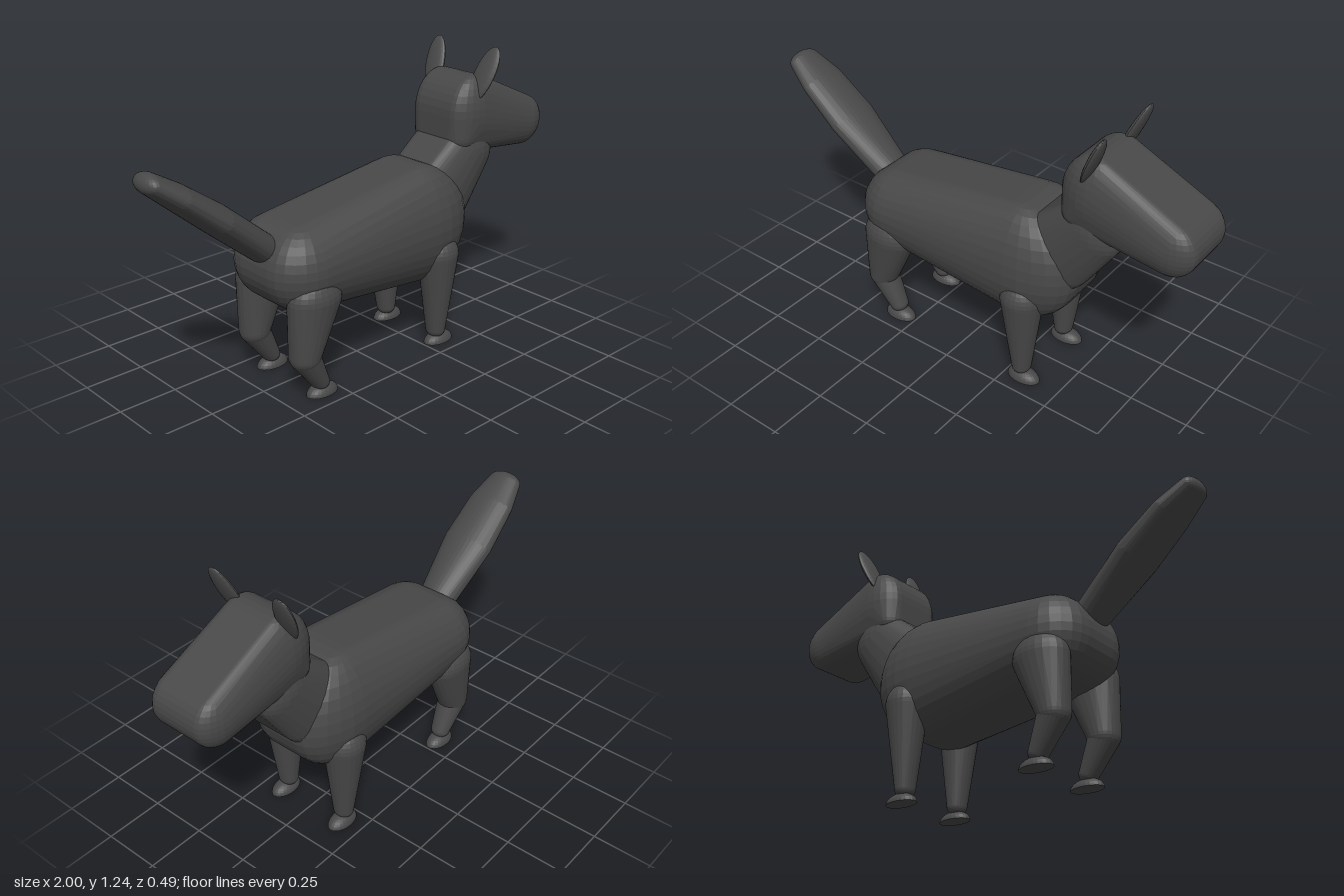
import * as THREE from 'three';
import { ConvexGeometry } from 'three/addons/geometries/ConvexGeometry.js';

const coat = new THREE.MeshStandardMaterial({ color: 0x484848 });
coat.name = 'charcoal coat';

// Points on an ellipsoid with centre c and radii r
function ellipsoid(c, r) {
  const p = new THREE.SphereGeometry(1, 24, 16).attributes.position;
  const pts = [];
  for (let i = 0; i < p.count; i++) {
    pts.push(new THREE.Vector3(c[0] + p.getX(i) * r[0], c[1] + p.getY(i) * r[1], c[2] + p.getZ(i) * r[2]));
  }
  return pts;
}

// Convex skin stretched over ellipsoids [centre, radii]
function skin(name, balls) {
  const mesh = new THREE.Mesh(new ConvexGeometry(balls.flatMap(([c, r]) => ellipsoid(c, r))), coat);
  mesh.name = name;
  return mesh;
}

// Mirrored pair of ellipsoids at z = +w and z = -w
const pair = (x, y, w, rx, ry, rz) => [[[x, y, w], [rx, ry, rz]], [[x, y, -w], [rx, ry, rz]]];

export function createModel() {
  const model = new THREE.Group();
  model.name = 'animal';

  // Trunk, neck and head
  model.add(skin('body', [
    ...pair(0.265, 0.535, 0.08, 0.25, 0.253, 0.15),
    ...pair(-0.355, 0.525, 0.08, 0.175, 0.175, 0.15),
  ]));
  model.add(skin('neck', [
    ...pair(0.41, 0.63, 0.08, 0.165, 0.165, 0.075),
    ...pair(0.56, 0.79, 0.08, 0.13, 0.13, 0.075),
  ]));
  model.add(skin('head', [
    ...pair(0.572, 0.955, 0.09, 0.132, 0.165, 0.077),
    ...pair(0.51, 0.865, 0.08, 0.07, 0.07, 0.07),
    ...pair(0.89, 0.865, 0.095, 0.11, 0.11, 0.065),
  ]));

  // Broad, flattened tail
  model.add(skin('tail', [
    [[-0.96, 0.985, 0], [0.04, 0.04, 0.075]],
    [[-0.86, 0.915, 0], [0.05, 0.05, 0.105]],
    [[-0.7, 0.79, 0], [0.06, 0.06, 0.115]],
    [[-0.5, 0.625, 0], [0.06, 0.06, 0.085]],
  ]));

  for (const [side, s] of [['left', -1], ['right', 1]]) {
    // Ears lean forward and outward
    const ear = new THREE.Mesh(new ConvexGeometry(ellipsoid([0, 0, 0], [0.018, 0.122, 0.052])), coat);
    ear.name = side + 'Ear';
    ear.position.set(0.587, 1.125, s * 0.14);
    ear.quaternion.setFromUnitVectors(new THREE.Vector3(0, 1, 0), new THREE.Vector3(0.42, 1, s * 0.2).normalize());
    model.add(ear);

    // Legs
    model.add(skin(side + 'FrontLeg', [
      [[0.315, 0.41, s * 0.16], [0.09, 0.09, 0.085]],
      [[0.318, 0.06, s * 0.153], [0.04, 0.04, 0.045]],
    ]));
    model.add(skin(side + 'Thigh', [
      [[-0.365, 0.42, s * 0.16], [0.12, 0.1, 0.085]],
      [[-0.415, 0.19, s * 0.157], [0.065, 0.06, 0.065]],
    ]));
    model.add(skin(side + 'Shank', [
      [[-0.415, 0.185, s * 0.157], [0.064, 0.055, 0.062]],
      [[-0.34, 0.055, s * 0.155], [0.038, 0.035, 0.042]],
    ]));

    // Domed feet with flat soles
    for (const [end, x] of [['Front', 0.332], ['Hind', -0.33]]) {
      const pts = ellipsoid([x, 0, s * 0.157], [0.074, 0.042, 0.045]).filter((p) => p.y > -1e-6);
      const foot = new THREE.Mesh(new ConvexGeometry(pts), coat);
      foot.name = side + end + 'Foot';
      model.add(foot);
    }
  }
  return model;
}
